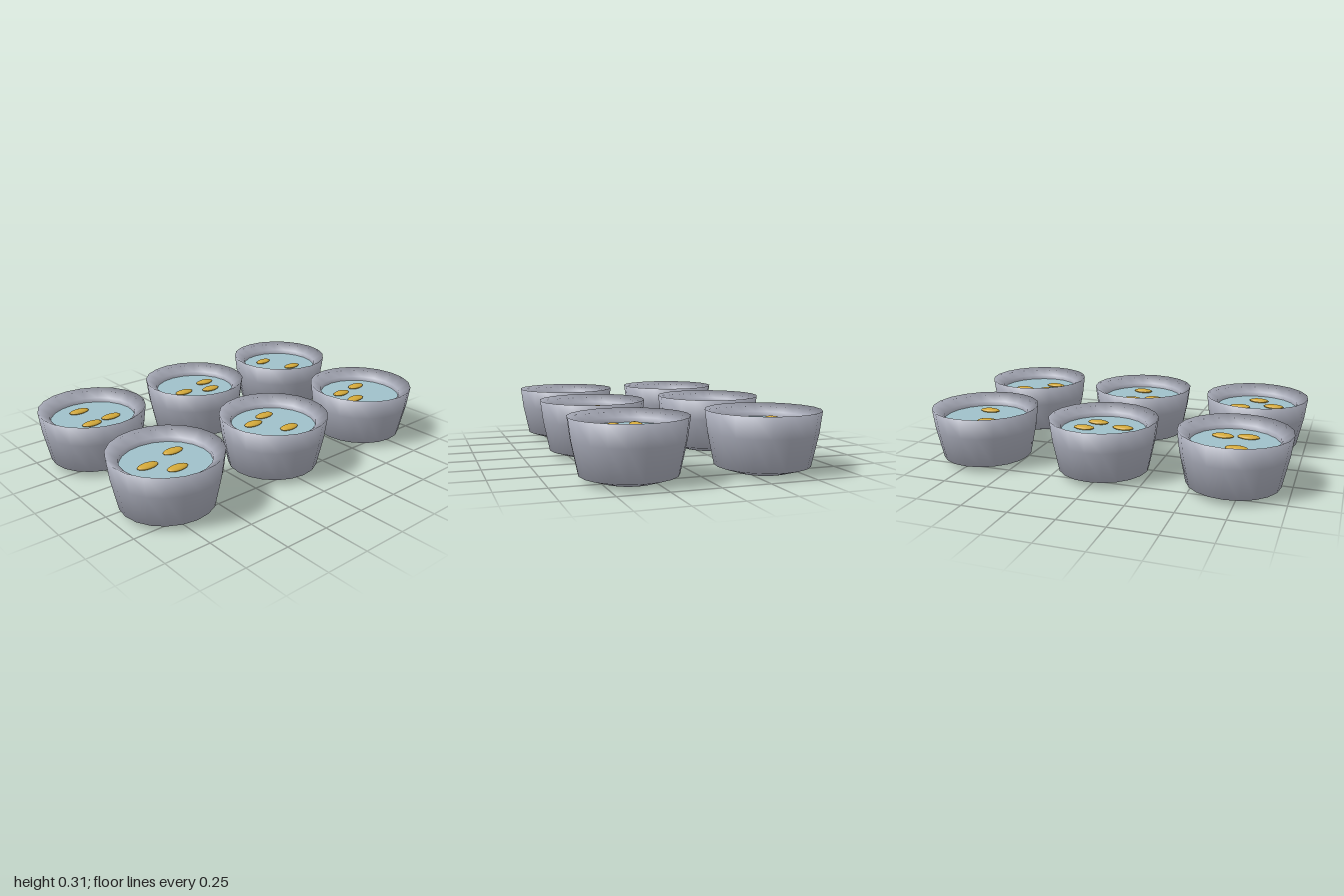
import * as THREE from 'three';

const SIDES = 20;
const FLUID_Y = 0.245;

// Cup centres and the [x, z, turn] of each pellet relative to the cup centre
const CUPS = [
  { x: -0.706, z: -0.353, pellets: [[-0.027, -0.107], [0.075, 0.067], [-0.054, 0.086]] },
  { x: 0, z: -0.353, pellets: [[0.1, -0.032], [-0.1, 0.027], [0.06, 0.08]] },
  { x: 0.706, z: -0.353, pellets: [[-0.059, -0.091, 0.13], [0.027, 0.096]] },
  { x: -0.706, z: 0.353, pellets: [[0.086, -0.064], [-0.101, -0.008], [0, 0.097]] },
  { x: 0, z: 0.353, pellets: [[0.032, -0.107], [-0.09, -0.059], [0.027, 0.096]] },
  { x: 0.706, z: 0.353, pellets: [[0.064, -0.086], [-0.091, -0.064], [-0.091, 0.048]] },
];

export function createModel() {
  const cupMat = new THREE.MeshStandardMaterial({ color: 0xa8abb8 });
  cupMat.name = 'grey cup';
  const fluidMat = new THREE.MeshStandardMaterial({ color: 0x9fc0ca });
  fluidMat.name = 'pale blue fluid';
  const pelletMat = new THREE.MeshStandardMaterial({ color: 0xd4a93a });
  pelletMat.name = 'golden pellet';

  // Outer wall up to the rim, then the sloping lip and the inner wall
  const profile = [
    [0.145, 0], [0.245, 0.032], [0.28, 0.2], [0.294, 0.312], [0.232, 0.27], [0.23, 0.24],
  ].map(([r, y]) => new THREE.Vector2(r, y));
  const wallGeo = new THREE.LatheGeometry(profile, SIDES);
  const baseGeo = new THREE.CircleGeometry(0.145, SIDES).rotateX(Math.PI / 2);
  const fluidGeo = new THREE.CircleGeometry(0.231, SIDES).rotateX(-Math.PI / 2);
  const pelletGeo = new THREE.SphereGeometry(1, 16, 10).scale(0.058, 0.012, 0.03);

  const add = (parent, name, geo, mat, x = 0, y = 0, z = 0) => {
    const mesh = new THREE.Mesh(geo, mat);
    mesh.name = name;
    mesh.position.set(x, y, z);
    parent.add(mesh);
    return mesh;
  };

  const model = new THREE.Group();
  model.name = 'cupSet';
  CUPS.forEach(({ x, z, pellets }, i) => {
    const cup = new THREE.Group();
    cup.name = `cup${i + 1}`;
    cup.position.set(x, 0, z);
    add(cup, 'cupWall', wallGeo, cupMat);
    add(cup, 'cupBase', baseGeo, cupMat);
    add(cup, 'fluid', fluidGeo, fluidMat, 0, FLUID_Y, 0);
    for (const [px, pz, turn = 0] of pellets) {
      add(cup, 'pellet', pelletGeo, pelletMat, px, FLUID_Y + 0.008, pz).rotation.y = turn;
    }
    model.add(cup);
  });
  return model;
}
